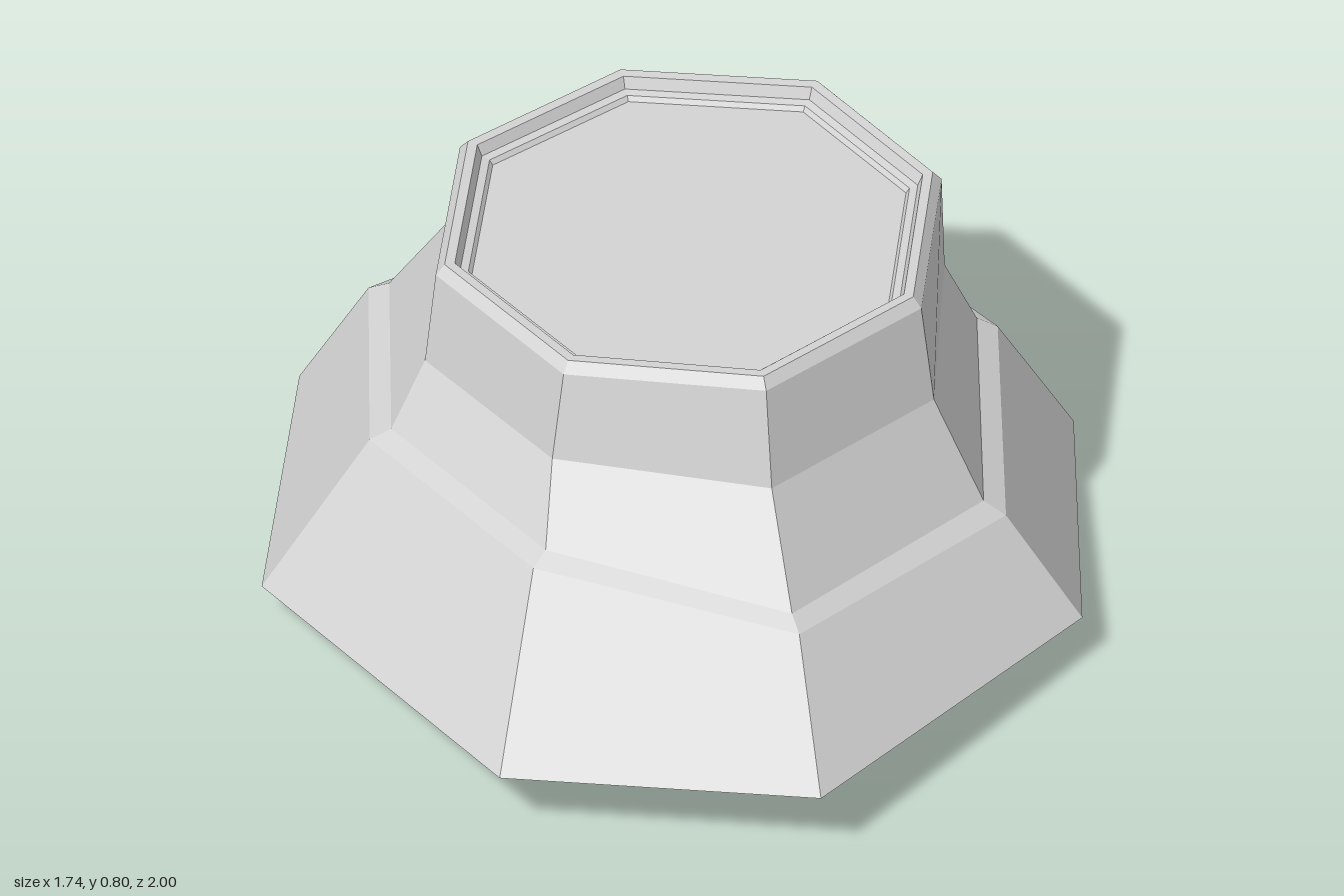
import * as THREE from 'three';

// Rings of eight corners [x, y, z], starting at the front and going round by the model's left
const hem = [[0.015, 0.16, 1], [0.69, 0.105, 0.47], [0.87, 0, -0.31], [0.56, 0.02, -0.875],
  [0, 0.095, -1], [-0.625, 0.083, -0.73], [-0.873, 0.087, -0.06], [-0.59, 0.152, 0.765]];
const shoulderLow = [[0.04, 0.367, 0.725], [0.555, 0.321, 0.38], [0.69, 0.335, -0.22], [0.5, 0.27, -0.735],
  [0, 0.291, -0.875], [-0.51, 0.362, -0.62], [-0.65, 0.413, -0.06], [-0.447, 0.442, 0.476]];
const shoulderHigh = [[0.035, 0.391, 0.685], [0.515, 0.347, 0.355], [0.648, 0.36, -0.225], [0.463, 0.29, -0.695],
  [0, 0.317, -0.825], [-0.474, 0.387, -0.593], [-0.605, 0.432, -0.06], [-0.415, 0.463, 0.45]];
const neck = [[0.035, 0.585, 0.52], [0.43, 0.565, 0.285], [0.57, 0.54, -0.18], [0.425, 0.545, -0.58],
  [0.01, 0.545, -0.7], [-0.37, 0.57, -0.525], [-0.53, 0.575, -0.08], [-0.367, 0.585, 0.315]];
const crown = [[0.04, 0.803, 0.455], [0.412, 0.795, 0.253], [0.562, 0.783, -0.173], [0.408, 0.78, -0.543],
  [0.02, 0.785, -0.675], [-0.35, 0.79, -0.505], [-0.505, 0.797, -0.092], [-0.34, 0.802, 0.3]];

// Shrinks a ring about its centre and shifts it in y
function inset(ring, s, dy) {
  const cx = ring.reduce((t, p) => t + p[0], 0) / ring.length;
  const cz = ring.reduce((t, p) => t + p[2], 0) / ring.length;
  return ring.map(([x, y, z]) => [cx + (x - cx) * s, y + dy, cz + (z - cz) * s]);
}

function meshFrom(name, positions, normals, material) {
  const geo = new THREE.BufferGeometry();
  geo.setAttribute('position', new THREE.Float32BufferAttribute(positions.flat(), 3));
  geo.setAttribute('normal', new THREE.Float32BufferAttribute(normals.flat(), 3));
  const mesh = new THREE.Mesh(geo, material);
  mesh.name = name;
  return mesh;
}

// Unit normal of the surface spanned by the directions a-b and c-d
function faceNormal(a, b, c, d) {
  const u = new THREE.Vector3(...b).sub(new THREE.Vector3(...a));
  const v = new THREE.Vector3(...d).sub(new THREE.Vector3(...c));
  return u.cross(v).normalize().toArray();
}

// Joins consecutive rings with four-sided faces, each shaded flat as a whole
function loft(name, rings, material) {
  const pos = [], nor = [];
  for (let r = 0; r < rings.length - 1; r++) {
    const a = rings[r], b = rings[r + 1];
    for (let i = 0; i < a.length; i++) {
      const j = (i + 1) % a.length;
      pos.push(a[i], a[j], b[j], a[i], b[j], b[i]);
      const n = faceNormal(a[i], b[j], a[j], b[i]);
      for (let k = 0; k < 6; k++) nor.push(n);
    }
  }
  return meshFrom(name, pos, nor, material);
}

// Closes a ring, facing up or down
function cap(name, ring, up, material) {
  const pos = [], nor = [];
  for (let i = 1; i < ring.length - 1; i++) {
    pos.push(ring[0], ...(up ? [ring[i], ring[i + 1]] : [ring[i + 1], ring[i]]));
    for (let k = 0; k < 3; k++) nor.push([0, up ? 1 : -1, 0]);
  }
  return meshFrom(name, pos, nor, material);
}

export function createModel() {
  const group = new THREE.Group();
  group.name = 'bucketHat';
  const cloth = new THREE.MeshStandardMaterial({ color: 0xd4d4d4 });
  cloth.name = 'light grey cloth';

  const crownEdge = inset(crown, 1, -0.022);
  const lipInner = inset(crown, 0.925, -0.001);
  const hemInner = inset(hem, 0.953, 0.017);
  const ceiling = inset(crown, 0.93, -0.053);
  const panel = inset(crown, 0.858, -0.038);

  group.add(
    // Outside
    loft('brim', [hem, shoulderLow], cloth),
    loft('brimSeam', [shoulderLow, shoulderHigh], cloth),
    loft('crownWall', [shoulderHigh, neck, crownEdge], cloth),
    // Raised lip and ledge round the sunken top panel
    loft('crownLip', [crownEdge, inset(crown, 0.965, 0), lipInner], cloth),
    loft('panelLedge', [lipInner, inset(crown, 0.905, -0.025), inset(crown, 0.872, -0.028), panel], cloth),
    cap('topPanel', panel, true, cloth),
    // Underside and hollow inside
    loft('brimHem', [hemInner, hem], cloth),
    loft('lining', [ceiling, inset(neck, 0.935, -0.015), inset(shoulderHigh, 0.945, -0.026),
      inset(shoulderLow, 0.965, -0.024), hemInner], cloth),
    cap('liningTop', ceiling, false, cloth),
  );
  return group;
}
